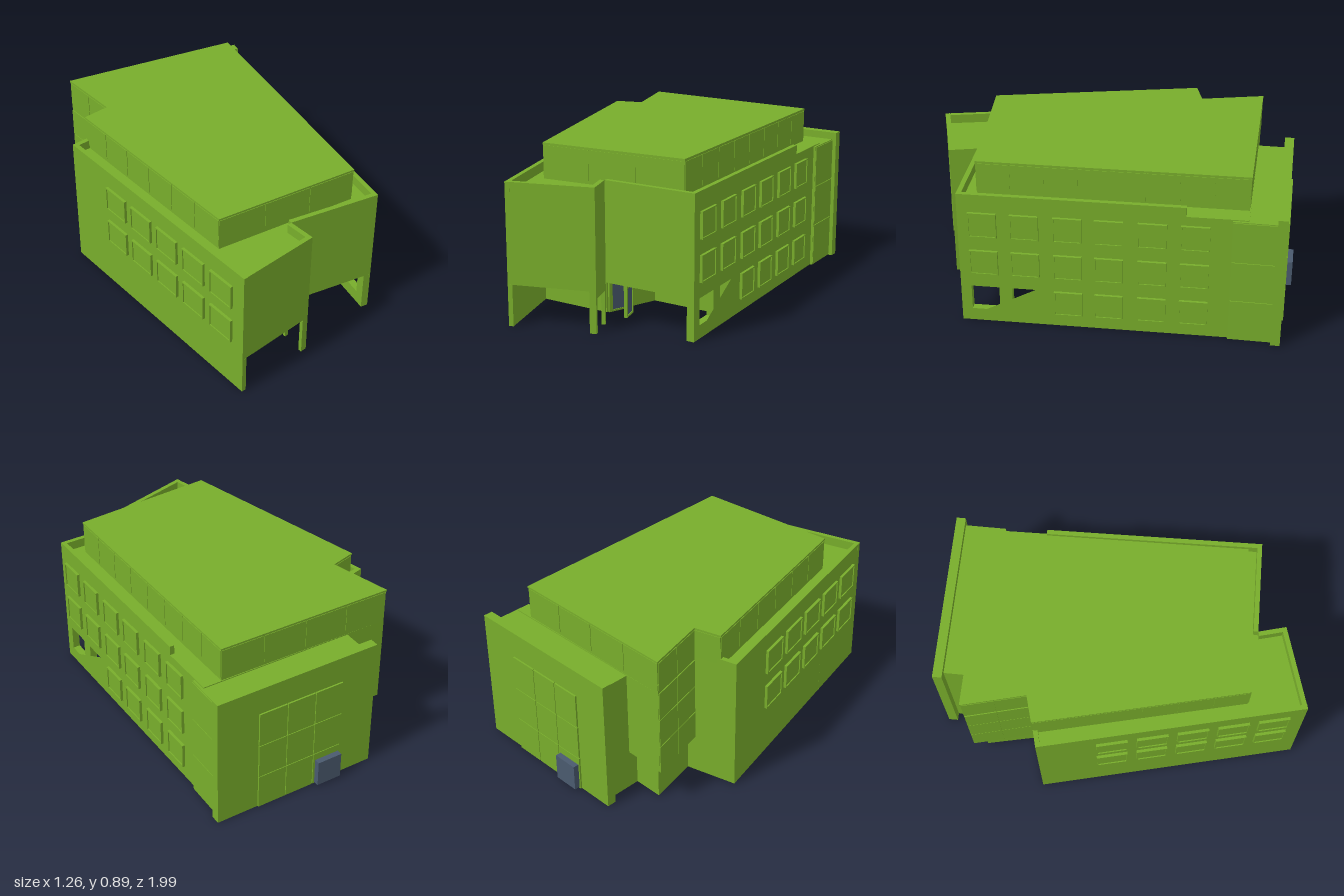
import * as THREE from 'three';

const green = new THREE.MeshStandardMaterial({ color: 0x78ad2b });
const slate = new THREE.MeshStandardMaterial({ color: 0x4a5a6e });

export function createModel() {
  const model = new THREE.Group();

  const add = (name, geometry, parent = model, material = green) => {
    const mesh = new THREE.Mesh(geometry, material);
    mesh.name = name;
    parent.add(mesh);
    return mesh;
  };

  // Vertical prism over a plan outline of [x, z] corners
  const prism = (name, plan, y0, y1) => {
    const shape = new THREE.Shape(plan.map(([x, z]) => new THREE.Vector2(x, -z)));
    const g = new THREE.ExtrudeGeometry(shape, { depth: y1 - y0, bevelEnabled: false });
    g.rotateX(-Math.PI / 2).translate(0, y0, 0);
    return add(name, g);
  };

  const box = (name, x0, x1, y0, y1, z0, z1, material) =>
    add(name, new THREE.BoxGeometry(x1 - x0, y1 - y0, z1 - z0)
      .translate((x0 + x1) / 2, (y0 + y1) / 2, (z0 + z1) / 2), model, material);

  // Group whose local x runs along a wall line and local z points outward
  const along = (name, a, b) => {
    const g = new THREE.Group();
    g.name = name;
    g.position.set(a[0], 0, a[1]);
    g.rotation.y = Math.atan2(a[1] - b[1], b[0] - a[0]);
    g.userData.length = Math.hypot(b[0] - a[0], b[1] - a[1]);
    model.add(g);
    return g;
  };

  // Flat piece in a wall frame with optional rectangular holes [x0, x1, y0, y1]
  const rect = (P, x0, x1, y0, y1) =>
    new P([[x0, y0], [x1, y0], [x1, y1], [x0, y1]].map(p => new THREE.Vector2(...p)));
  const slab = (parent, name, r, z0, z1, holes = [], material = green) => {
    const shape = rect(THREE.Shape, ...r);
    holes.forEach(h => shape.holes.push(rect(THREE.Path, ...h)));
    const g = new THREE.ExtrudeGeometry(shape, { depth: z1 - z0, bevelEnabled: false });
    return add(name, g.translate(0, 0, z0), parent, material);
  };

  // Framed window with a slightly sunken pane
  const windowAt = (parent, x0, x1, y0, y1) => {
    const f = 0.007;
    slab(parent, 'windowFrame', [x0, x1, y0, y1], -0.005, 0.015,
      [[x0 + f, x1 - f, y0 + f, y1 - f]]);
    slab(parent, 'windowPane', [x0 + f, x1 - f, y0 + f, y1 - f], -0.005, 0.009);
  };

  // Grid of glass panels along a wall line
  const glazing = (name, a, b, y0, y1, cols, rows, out = 0.005) => {
    const g = along(name, a, b), w = g.userData.length / cols, h = (y1 - y0) / rows, gap = 0.002;
    for (let i = 0; i < cols; i++) for (let j = 0; j < rows; j++)
      slab(g, 'glassPanel', [i * w + gap, (i + 1) * w - gap,
        y0 + j * h + gap, y0 + (j + 1) * h - gap], -0.002, out);
  };

  // Plan corners of the main block
  const W = [-0.63, -0.38], S = [-0.29, 0.99], T = [0.15, 0.855], N = [0.11, 0.71];
  const E = [0.615, 0.70], B = [0.582, -0.69], C = [-0.40, -0.44], D = [-0.485, -0.77];
  const eastAt = z => [E[0] + (B[0] - E[0]) * (E[1] - z) / (E[1] - B[1]), z];

  // Upper floors and the set-back ground floor
  prism('upperFloors', [W, S, T, N, E, B, [0.582, -0.77], D, C], 0.22, 0.70);
  prism('groundFloor', [W, [-0.394, 0.57], [0.02, 0.57], [0.14, 0.29], eastAt(0.29), B,
    [0.582, -0.77], [-0.26, -0.77], [-0.26, -0.72], [-0.42, -0.72], [-0.36, -0.45], C], 0, 0.22);

  // Parapets
  [[C, W], [W, S], [S, T], [T, N], [N, E], [E, eastAt(-0.46)]].forEach(([a, b]) => {
    const g = along('parapet', a, b);
    slab(g, 'parapetWall', [0, g.userData.length, 0.70, 0.75], -0.025, 0);
  });

  // Walls carrying the front overhang
  const west = along('westWall', W, S);
  const L = west.userData.length;
  slab(west, 'westGroundWall', [L - 0.44, L, 0, 0.22], -0.025, 0);
  const wing = along('wingLeg', S, T);
  slab(wing, 'wingLegPier', [wing.userData.length - 0.035, wing.userData.length, 0, 0.22], -0.02, 0);
  const side = along('wingSide', T, N);
  slab(side, 'wingSideLintel', [0, side.userData.length, 0.18, 0.22], -0.02, 0);
  slab(side, 'wingSidePost', [side.userData.length - 0.015, side.userData.length, 0, 0.18], -0.02, 0);

  // East wall: ground-floor part with two open windows, then rows of windows
  const east = along('eastWall', E, B);
  const starts = [0.055, 0.27, 0.49, 0.70, 0.92, 1.135];
  const rows = [0.07, 0.29, 0.51];
  const openings = starts.slice(0, 2).map(s => [s, s + 0.147, 0.07, 0.21]);
  slab(east, 'eastGroundWall', [0, 0.412, 0, 0.22], -0.04, 0, openings);
  rows.forEach((y, r) => starts.forEach((s, i) => {
    if (r > 0 || i > 1) windowAt(east, s, s + 0.147, y, y + 0.14);
  }));

  // West wall: two rows of five windows
  rows.slice(1).forEach(y => {
    for (let i = 0; i < 5; i++) {
      const s = 0.31 + i * 0.214;
      windowAt(west, s, s + 0.165, y, y + 0.14);
    }
  });

  // Entrance: framed door in the angled recess and a second door by a post
  const entry = along('entrance', [0.02, 0.57], [0.14, 0.29]);
  slab(entry, 'entranceFrame', [0.01, 0.14, 0, 0.19], -0.005, 0.012, [[0.03, 0.12, 0.01, 0.165]]);
  slab(entry, 'entranceDoor', [0.03, 0.12, 0.01, 0.165], -0.005, 0.008, [], slate);
  const porch = along('porchDoor', [0.15, 0.58], [0.135, 0.51]);
  slab(porch, 'porchDoorFrame', [-0.01, 0.082, 0, 0.18], -0.012, 0.006, [[0, 0.072, 0.01, 0.155]]);
  slab(porch, 'porchDoorLeaf', [0, 0.072, 0.01, 0.155], -0.008, 0.002, [], slate);

  // Penthouse with glazed sides and a thin roof
  const P = [[-0.54, -0.40], [-0.275, 0.685], [0.51, 0.615], [0.48, -0.765], D, C];
  prism('penthouse', P, 0.70, 0.88);
  prism('penthouseRoof', P.map(([x, z]) => [x * 1.006, z * 1.006]), 0.878, 0.888);
  [[0, 1, 6], [1, 2, 3], [2, 3, 8], [3, 4, 4], [4, 5, 2], [5, 0, 1]].forEach(([i, j, n]) =>
    glazing('penthouseGlazing', P[i], P[j], 0.715, 0.876, n, 1, 0.003));

  // Glazed bay under the penthouse at the back
  glazing('bayGlazing', D, C, 0.215, 0.70, 2, 3);

  // Rear stair block, its corner glazing and the tall back wall
  box('rearBlock', -0.26, 0.595, 0, 0.695, -0.92, -0.69);
  glazing('rearSideGlazing', [0.595, -0.69], [0.595, -0.91], 0.01, 0.692, 1, 3);
  box('backWall', -0.30, 0.62, 0, 0.735, -0.96, -0.91);
  glazing('backGlazing', [0.39, -0.96], [-0.10, -0.96], 0, 0.59, 3, 3, 0.009);
  box('backDoor', -0.09, 0.05, 0.01, 0.155, -1.0, -0.96, slate);

  return model;
}
